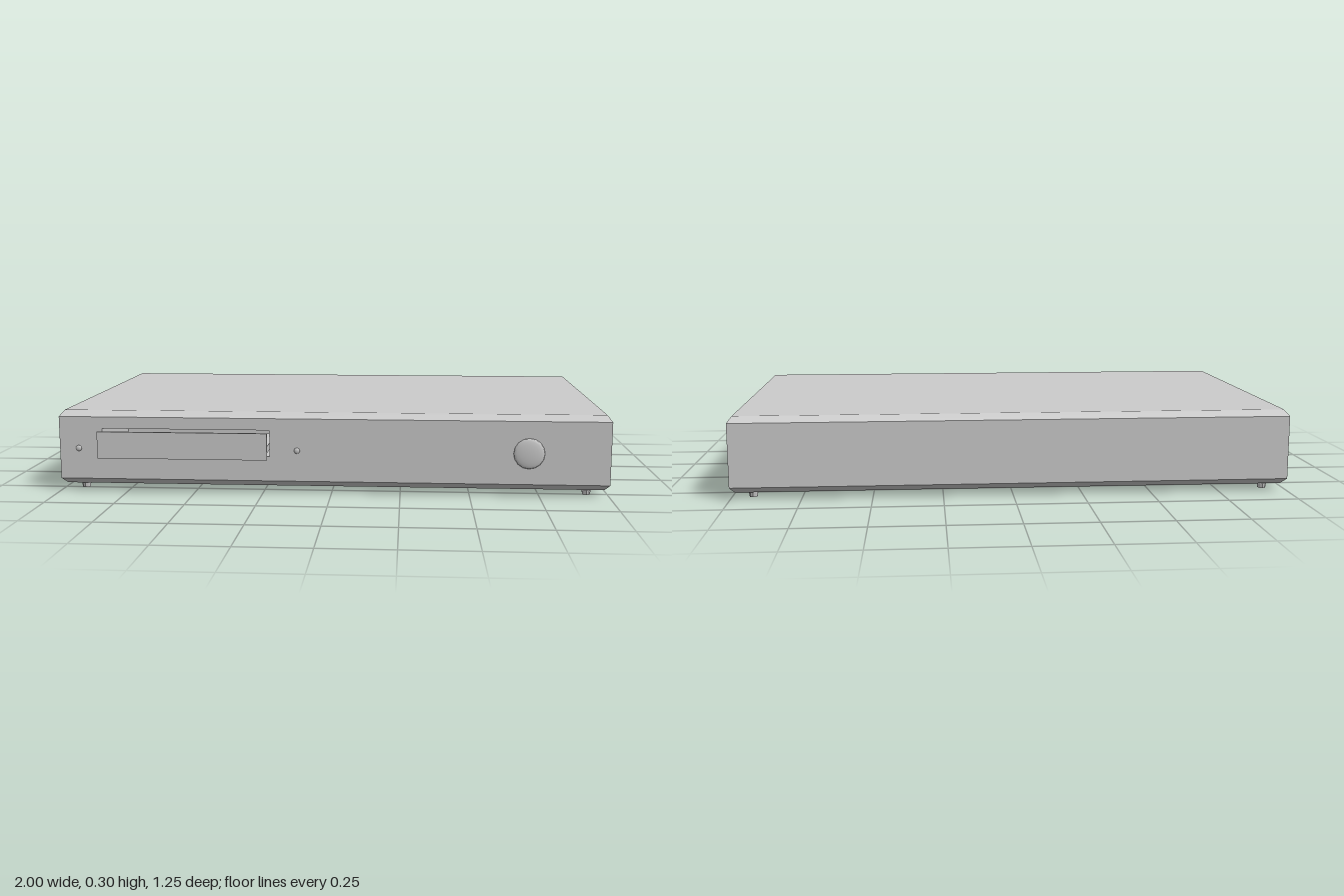
import * as THREE from 'three';

const material = new THREE.MeshStandardMaterial({ color: 0xcccccc, flatShading: true, side: THREE.DoubleSide });
const smooth = new THREE.MeshStandardMaterial({ color: 0xcccccc });

function add(parent, name, geometry, x = 0, y = 0, z = 0, mat = material) {
  const mesh = new THREE.Mesh(geometry, mat);
  mesh.name = name;
  mesh.position.set(x, y, z);
  parent.add(mesh);
  return mesh;
}

// Surface from a list of four-cornered faces, corners counter-clockwise from outside
function quads(faces) {
  const positions = [];
  for (const [a, b, c, d] of faces) positions.push(...a, ...b, ...c, ...a, ...c, ...d);
  const geometry = new THREE.BufferGeometry();
  geometry.setAttribute('position', new THREE.Float32BufferAttribute(positions, 3));
  geometry.computeVertexNormals();
  return geometry;
}

// Horizontal rectangle, counter-clockwise seen from above
const ring = (x0, x1, y, z0, z1) => [[x0, y, z1], [x1, y, z1], [x1, y, z0], [x0, y, z0]];

export function createModel() {
  const model = new THREE.Group();
  model.name = 'discPlayer';
  const front = 0.555, back = -0.625;
  const yLow = 0.045, yHigh = 0.275;
  const slot = { x0: -0.84, x1: -0.225, y0: 0.135, y1: 0.232, depth: 0.35 };

  // Case with chamfered top and bottom edges; the front wall is left open
  const rings = [
    ring(-0.985, 0.985, 0.022, back + 0.03, front - 0.03),
    ring(-1, 1, yLow, back, front),
    ring(-1, 1, yHigh, back, front),
    ring(-0.985, 0.985, 0.296, back + 0.03, front - 0.03),
  ];
  const faces = [rings[3], [...rings[0]].reverse()];
  for (let level = 0; level < 3; level++) {
    for (let i = 0; i < 4; i++) {
      if (level === 1 && i === 0) continue;
      const j = (i + 1) % 4;
      faces.push([rings[level][i], rings[level][j], rings[level + 1][j], rings[level + 1][i]]);
    }
  }
  add(model, 'case', quads(faces));

  // Front wall with the tray opening
  const wall = new THREE.Shape([[-1, yLow], [1, yLow], [1, yHigh], [-1, yHigh]].map(p => new THREE.Vector2(...p)));
  const outline = [[slot.x0, slot.y0], [slot.x0, slot.y1], [slot.x1, slot.y1], [slot.x1, slot.y0]];
  wall.holes.push(new THREE.Path(outline.map(p => new THREE.Vector2(...p))));
  add(model, 'frontWall', new THREE.ShapeGeometry(wall), 0, 0, front);

  // Inside of the tray opening
  const inner = front - slot.depth;
  const slotFaces = outline.map(([x, y], i) => {
    const [u, v] = outline[(i + 1) % 4];
    return [[x, y, front], [u, v, front], [u, v, inner], [x, y, inner]];
  });
  slotFaces.push(outline.map(([x, y]) => [x, y, inner]).reverse());
  add(model, 'trayOpening', quads(slotFaces));

  // Extended disc tray with its cover plate
  const tray = new THREE.Group();
  tray.name = 'tray';
  model.add(tray);
  const middle = (slot.x0 + slot.x1) / 2;
  add(tray, 'trayBed', new THREE.BoxGeometry(0.59, 0.024, 0.36), middle, 0.155, 0.437);
  add(tray, 'trayCover', new THREE.BoxGeometry(0.615, 0.097, 0.009), middle, 0.1835, 0.6205);

  // Shallow domed buttons
  const dome = (name, x, radius, height) => {
    const geometry = new THREE.SphereGeometry(radius, 16, 5, 0, Math.PI * 2, 0, Math.PI / 2);
    geometry.rotateX(Math.PI / 2).scale(1, 1, height / radius);
    add(model, name, geometry, x, 0.158, front, smooth);
  };
  dome('controlKnob', 0.71, 0.056, 0.009);
  dome('powerButton', -0.93, 0.011, 0.005);
  dome('openButton', -0.125, 0.011, 0.005);

  // Tapered feet
  for (const x of [-0.925, 0.925]) {
    for (const z of [0.495, -0.565]) {
      add(model, 'foot', new THREE.CylinderGeometry(0.018, 0.014, 0.024, 10), x, 0.012, z);
    }
  }
  return model;
}
